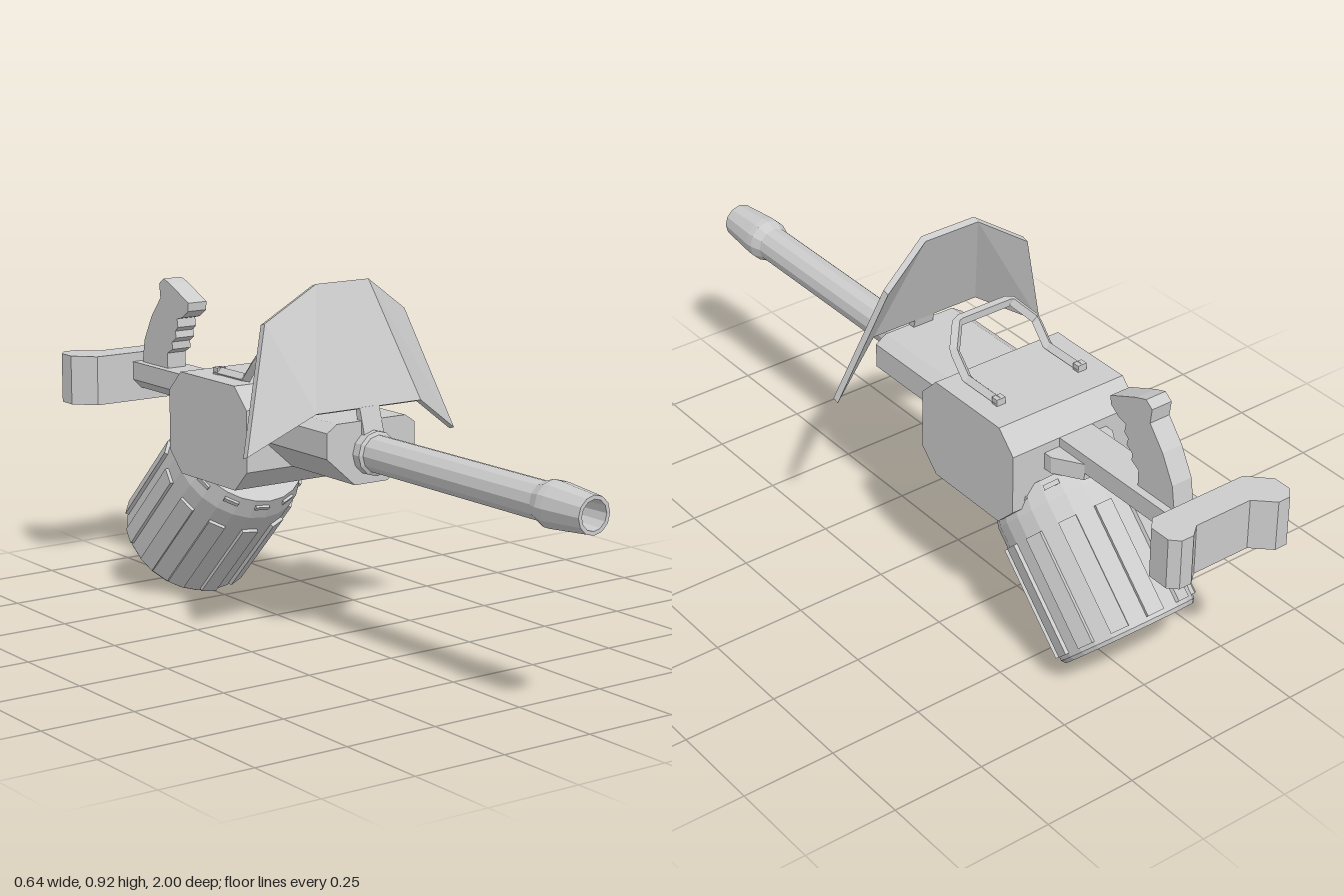
import * as THREE from 'three';

const V = (x, y, z) => new THREE.Vector3(x, y, z);
const grey = new THREE.MeshStandardMaterial({ color: 0xcccccc, flatShading: true });

export function createModel() {
  const model = new THREE.Group();

  const add = (name, geometry, parent = model) => {
    const mesh = new THREE.Mesh(geometry, grey);
    mesh.name = name;
    parent.add(mesh);
    return mesh;
  };
  const extrude = (points, depth) => new THREE.ExtrudeGeometry(
    new THREE.Shape(points.map(([x, y]) => new THREE.Vector2(x, y))),
    { depth, bevelEnabled: false });
  // Side outline in (z, y), extruded evenly across x
  const sidePart = (points, width) =>
    extrude(points, width).translate(0, 0, -width / 2).rotateY(-Math.PI / 2);
  // Front outline in (x, y), extruded from z0 to z1
  const frontPart = (points, z0, z1) => extrude(points, z1 - z0).translate(0, 0, z0);
  // Top outline in (x, z), extruded from y0 to y1
  const topPart = (points, y0, y1) =>
    extrude(points.map(([x, z]) => [x, -z]), y1 - y0).rotateX(-Math.PI / 2).translate(0, y0, 0);
  // Turned part from (radius, distance) pairs
  const turned = (points, sides) =>
    new THREE.LatheGeometry(points.map(([r, d]) => new THREE.Vector2(r, d)), sides);

  // Barrel with collar, flared muzzle and hollow bore
  add('barrel', turned([
    [0, 0.1], [0.057, 0.1], [0.057, 0.19], [0.048, 0.195], [0.048, 0.83], [0.058, 0.86],
    [0.058, 0.88], [0.047, 1], [0.037, 1], [0.034, 0.92], [0, 0.9],
  ], 12).rotateX(Math.PI / 2).translate(0, 0.518, 0));

  // Front housing and main receiver
  add('frontHousing', frontPart([
    [-0.05, 0.44], [0.05, 0.44], [0.135, 0.515], [0.135, 0.58],
    [0.105, 0.6], [-0.105, 0.6], [-0.135, 0.58], [-0.135, 0.515],
  ], -0.15, 0.165));
  add('receiver', sidePart([
    [-0.105, 0.44], [-0.105, 0.6], [-0.16, 0.655], [-0.41, 0.655],
    [-0.465, 0.6], [-0.465, 0.44], [-0.41, 0.385], [-0.16, 0.385],
  ], 0.38));

  // Carry handle: a bent square rod
  const half = [V(0.125, 0.66, -0.33), V(0.125, 0.66, -0.2), V(0.125, 0.715, -0.15), V(0.082, 0.762, -0.105)];
  const bends = [...half, ...half.slice().reverse().map((p) => V(-p.x, p.y, p.z))];
  const handlePath = new THREE.CurvePath();
  for (let i = 1; i < bends.length; i++) handlePath.add(new THREE.LineCurve3(bends[i - 1], bends[i]));
  add('carryHandle', new THREE.TubeGeometry(handlePath, 60, 0.014, 4));
  for (const s of [-1, 1]) {
    add('handleFoot', new THREE.BoxGeometry(0.026, 0.026, 0.02).translate(s * 0.125, 0.66, -0.325));
  }

  // Folded shield lofted through four thick columns
  const columns = [
    [V(-0.215, 0.84, 0.015), V(-0.32, 0.53, 0.09)], [V(-0.08, 0.93, 0.043), V(-0.16, 0.63, 0.157)],
    [V(0.08, 0.93, 0.043), V(0.16, 0.63, 0.157)], [V(0.215, 0.84, 0.015), V(0.32, 0.53, 0.09)],
  ];
  const back = V(0, -0.006, -0.018);
  const positions = [], faces = [];
  for (const [top, low] of columns) {
    for (const p of [top, low, low.clone().add(back), top.clone().add(back)]) positions.push(p.x, p.y, p.z);
  }
  for (let c = 0; c < 3; c++) {
    for (let k = 0; k < 4; k++) {
      const a = c * 4 + k, b = c * 4 + (k + 1) % 4;
      faces.push(a, b, b + 4, a, b + 4, a + 4);
    }
  }
  faces.push(0, 3, 2, 0, 2, 1, 12, 13, 14, 12, 14, 15);
  const shield = new THREE.BufferGeometry();
  shield.setAttribute('position', new THREE.Float32BufferAttribute(positions, 3));
  shield.setIndex(faces);
  const flatShield = shield.toNonIndexed();
  flatShield.computeVertexNormals();
  add('shield', flatShield);
  add('shieldTab', sidePart([[0.139, 0.63], [0.16, 0.55], [0.182, 0.55], [0.157, 0.632]], 0.06));

  // Stock bar, its flared root, and the shoulder plate
  add('stockBar', frontPart([
    [-0.025, 0.525], [0.025, 0.525], [0.05, 0.55], [0.05, 0.6], [-0.05, 0.6], [-0.05, 0.55],
  ], -0.89, -0.45));
  add('stockRoot', topPart([
    [-0.095, -0.45], [0.095, -0.45], [0.095, -0.49], [0.05, -0.56], [-0.05, -0.56], [-0.095, -0.49],
  ], 0.53, 0.575));
  add('shoulderPlate', topPart([
    [-0.217, -0.975], [-0.195, -1], [-0.16, -1], [-0.113, -0.955], [0.05, -0.955], [0.08, -0.98],
    [0.115, -0.98], [0.137, -0.958], [0.137, -0.9], [0.11, -0.872], [-0.165, -0.872], [-0.217, -0.925],
  ], 0.49, 0.625));

  // Grip with finger notches and a forward horn
  add('grip', sidePart([
    [-0.727, 0.595], [-0.856, 0.595], [-0.845, 0.663], [-0.807, 0.733], [-0.76, 0.79], [-0.765, 0.829],
    [-0.743, 0.845], [-0.71, 0.834], [-0.62, 0.793], [-0.622, 0.77], [-0.652, 0.749], [-0.677, 0.743],
    [-0.673, 0.72], [-0.687, 0.708], [-0.682, 0.69], [-0.703, 0.676], [-0.702, 0.656], [-0.727, 0.642],
  ], 0.058));

  // Tilted drum magazine with raised ribs
  const drum = new THREE.Group();
  drum.name = 'drumMagazine';
  drum.position.set(0, 0.277, -0.54);
  drum.rotation.x = Math.PI / 4;
  model.add(drum);
  add('drumBody', turned([
    [0, -0.21], [0.172, -0.21], [0.179, -0.2], [0.179, 0.155], [0.163, 0.21], [0, 0.21],
  ], 24), drum);
  for (let i = 0; i < 12; i++) {
    const angle = (i * 30 - 7) * Math.PI / 180;
    add('drumRib', new THREE.BoxGeometry(0.046, 0.29, 0.02)
      .translate(0, -0.045, 0.177).rotateY(angle), drum);
    add('drumLip', new THREE.BoxGeometry(0.04, 0.012, 0.012)
      .translate(0, 0.19, 0.167).rotateY(angle), drum);
  }
  return model;
}
